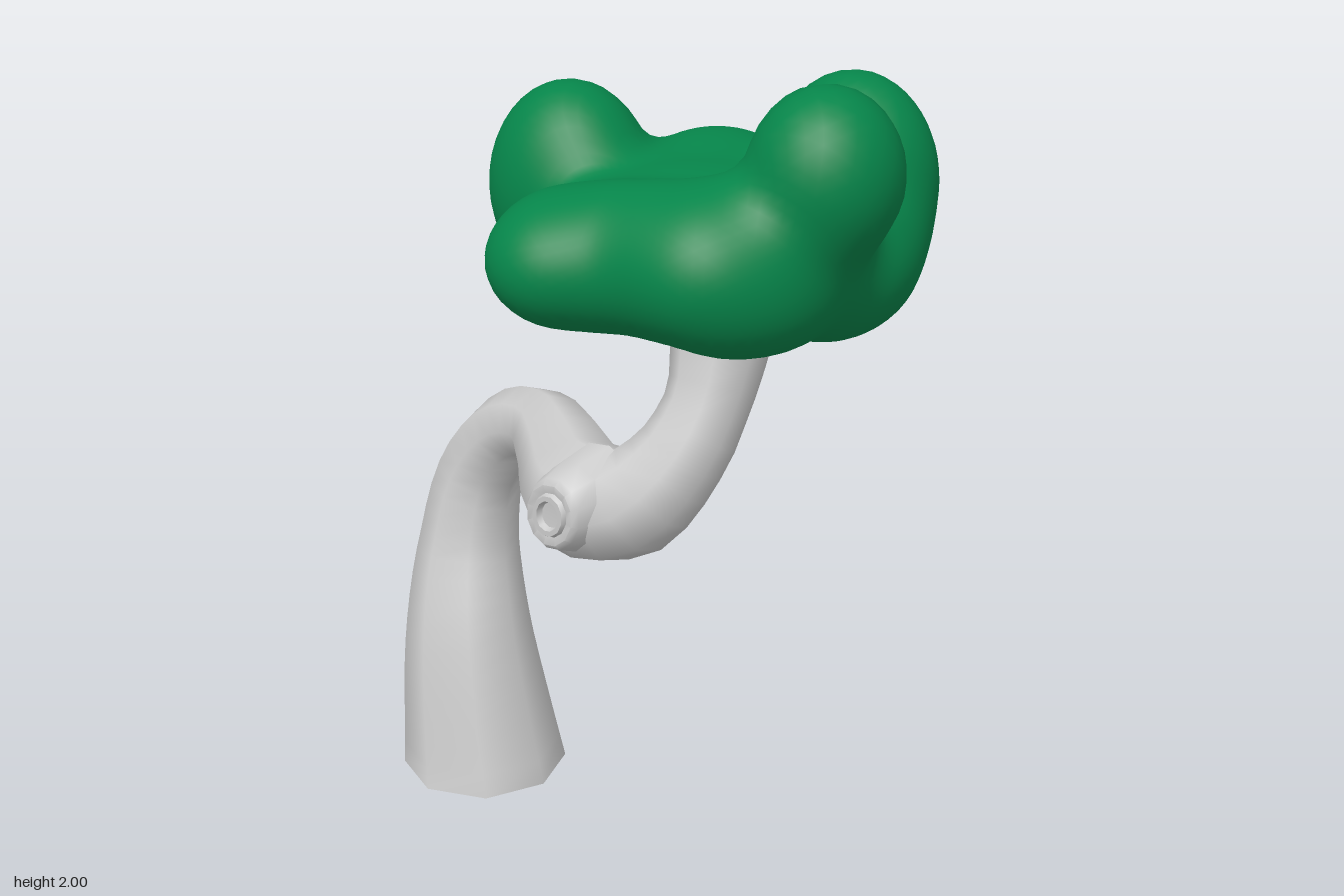
import * as THREE from 'three';
import { mergeVertices, toCreasedNormals } from 'three/addons/utils/BufferGeometryUtils.js';

const bark = new THREE.MeshStandardMaterial({ color: 0xcccccc });
const leaf = new THREE.MeshStandardMaterial({ color: 0x06854a });

// Trunk stations: x, y, z, radius
const STATIONS = [
  [-0.5, 0, 0.045, 0.213], [-0.57, 0.35, 0.02, 0.165], [-0.605, 0.6, -0.03, 0.127],
  [-0.575, 0.79, -0.055, 0.108], [-0.46, 0.93, -0.05, 0.096], [-0.32, 0.98, -0.015, 0.092],
  [-0.19, 0.96, 0.06, 0.115], [-0.04, 0.925, 0.15, 0.147], [0.1, 0.955, 0.155, 0.133],
  [0.19, 1.07, 0.09, 0.108], [0.22, 1.2, 0.02, 0.098], [0.205, 1.36, -0.05, 0.122],
  [0.19, 1.49, -0.1, 0.14],
];

// Foliage lumps: centre x, y, z, then radii x, y, z
const LUMPS = [
  [-0.235, 1.61, -0.03, 0.205, 0.25, 0.18], // left
  [0.565, 1.81, 0.07, 0.17, 0.19, 0.165], // right, high
  [0.48, 1.65, 0.08, 0.16, 0.16, 0.19], // right, below the high lump
  [0.355, 1.67, -0.33, 0.205, 0.25, 0.17], // back, high
  [0.01, 1.53, -0.27, 0.235, 0.205, 0.235], // back left
  [0.06, 1.58, 0.295, 0.185, 0.155, 0.205], // front left
  [0.22, 1.6, 0.25, 0.18, 0.165, 0.165], // front middle
  [0.39, 1.61, 0.22, 0.2, 0.18, 0.205], // front right
  [0.46, 1.55, 0.12, 0.15, 0.13, 0.2], // right, low
  [0.43, 1.54, -0.15, 0.185, 0.18, 0.24], // back right
  [0.17, 1.575, -0.04, 0.37, 0.155, 0.35], // core
];

function createTrunk() {
  const sides = 8, rings = 40;
  const path = new THREE.CatmullRomCurve3(
    STATIONS.map(([x, y, z]) => new THREE.Vector3(x, y, z)), false, 'centripetal');
  const tube = new THREE.TubeGeometry(path, rings, 1, sides);
  const pos = tube.attributes.position;
  const v = new THREE.Vector3();
  const base = [];
  for (let i = 0; i <= rings; i++) {
    // Interpolate the radius between stations
    const t = path.getUtoTmapping(i / rings) * (STATIONS.length - 1);
    const k = Math.min(Math.floor(t), STATIONS.length - 2);
    const radius = THREE.MathUtils.lerp(STATIONS[k][3], STATIONS[k + 1][3], t - k);
    const centre = path.getPointAt(i / rings);
    // Level the rings near the ground so the base is flat
    const tilt = THREE.MathUtils.smoothstep(centre.y, 0, 0.4);
    for (let j = 0; j <= sides; j++) {
      const n = i * (sides + 1) + j;
      v.fromBufferAttribute(pos, n).sub(centre).multiplyScalar(radius);
      v.y *= tilt;
      v.add(centre);
      pos.setXYZ(n, v.x, v.y, v.z);
      if (i === 0 && j < sides) base.push(new THREE.Vector2(v.x, v.z));
    }
  }
  tube.deleteAttribute('uv');
  tube.deleteAttribute('normal');
  const geometry = mergeVertices(tube, 1e-4);
  geometry.computeVertexNormals();

  const trunk = new THREE.Mesh(geometry, bark);
  trunk.name = 'trunk';
  const cap = new THREE.Mesh(
    new THREE.ShapeGeometry(new THREE.Shape(base)).rotateX(Math.PI / 2), bark);
  cap.name = 'trunkBase';
  return [trunk, cap];
}

// Low cut branch with a raised oval rim around its heart
function createKnot() {
  const profile = [
    [0.15, -0.13], [0.125, -0.04], [0.1, 0.015], [0.085, 0.028],
    [0.062, 0.024], [0.056, 0.034], [0.042, 0.034], [0.036, 0.02], [0, 0.018],
  ].map(([r, y]) => new THREE.Vector2(r, y));
  const geometry = new THREE.LatheGeometry(profile, 12).rotateX(Math.PI / 2);
  const knot = new THREE.Mesh(toCreasedNormals(geometry, 0.9), bark);
  knot.name = 'branchKnot';
  knot.position.set(-0.005, 0.945, 0.288);
  knot.scale.set(0.82, 1, 1);
  knot.rotation.set(0, -0.1, -0.7);
  return knot;
}

// Approximate distance to the softly blended lumps
function foliageDistance(px, py, pz) {
  const blend = 0.08;
  let d = 10;
  for (const [x, y, z, a, b, c] of LUMPS) {
    const dx = (px - x) / a, dy = (py - y) / b, dz = (pz - z) / c;
    const k0 = Math.sqrt(dx * dx + dy * dy + dz * dz);
    const k1 = Math.sqrt((dx / a) ** 2 + (dy / b) ** 2 + (dz / c) ** 2);
    const e = k1 > 1e-6 ? k0 * (k0 - 1) / k1 : -Math.min(a, b, c);
    const h = Math.max(blend - Math.abs(d - e), 0) / blend;
    d = Math.min(d, e) - h * h * blend / 4;
  }
  return d;
}

// Slide a point along the distance gradient onto the surface
function projectToFoliage(p) {
  const e = 0.002, g = new THREE.Vector3();
  for (let s = 0; s < 2; s++) {
    const d = foliageDistance(p.x, p.y, p.z);
    g.set(foliageDistance(p.x + e, p.y, p.z) - d, foliageDistance(p.x, p.y + e, p.z) - d,
      foliageDistance(p.x, p.y, p.z + e) - d).divideScalar(e);
    p.addScaledVector(g, -d / Math.max(g.lengthSq(), 0.3));
  }
}

// Sphere shrunk onto the blended lumps, then evened out over them
function createFoliage() {
  const ball = new THREE.IcosahedronGeometry(1, 24);
  ball.deleteAttribute('uv');
  ball.deleteAttribute('normal');
  const geometry = mergeVertices(ball, 1e-4);
  const pos = geometry.attributes.position;
  const index = geometry.index.array;
  const centre = new THREE.Vector3(0.17, 1.5, -0.03);
  const dir = new THREE.Vector3();
  const points = [], neighbours = [];
  for (let i = 0; i < pos.count; i++) {
    dir.fromBufferAttribute(pos, i).normalize();
    const p = new THREE.Vector3();
    let r = 0.9;
    for (let s = 0; s < 60; s++) {
      p.copy(centre).addScaledVector(dir, r);
      const d = foliageDistance(p.x, p.y, p.z);
      if (d < 0.001) break;
      r -= d * 0.6;
    }
    points.push(p);
    neighbours.push([]);
  }
  // Each edge of a closed mesh is met once in each direction
  for (let f = 0; f < index.length; f += 3) {
    for (let k = 0; k < 3; k++) neighbours[index[f + k]].push(index[f + (k + 1) % 3]);
  }
  for (let pass = 0; pass < 14; pass++) {
    const averages = neighbours.map((list) => {
      const sum = new THREE.Vector3();
      for (const n of list) sum.add(points[n]);
      return sum.divideScalar(list.length);
    });
    points.forEach((p, i) => {
      p.lerp(averages[i], 0.7);
      projectToFoliage(p);
    });
  }
  points.forEach((p, i) => pos.setXYZ(i, p.x, p.y, p.z));
  geometry.computeVertexNormals();
  const foliage = new THREE.Mesh(geometry, leaf);
  foliage.name = 'foliage';
  return foliage;
}

export function createModel() {
  const tree = new THREE.Group();
  tree.name = 'tree';
  tree.add(...createTrunk(), createKnot(), createFoliage());
  return tree;
}
